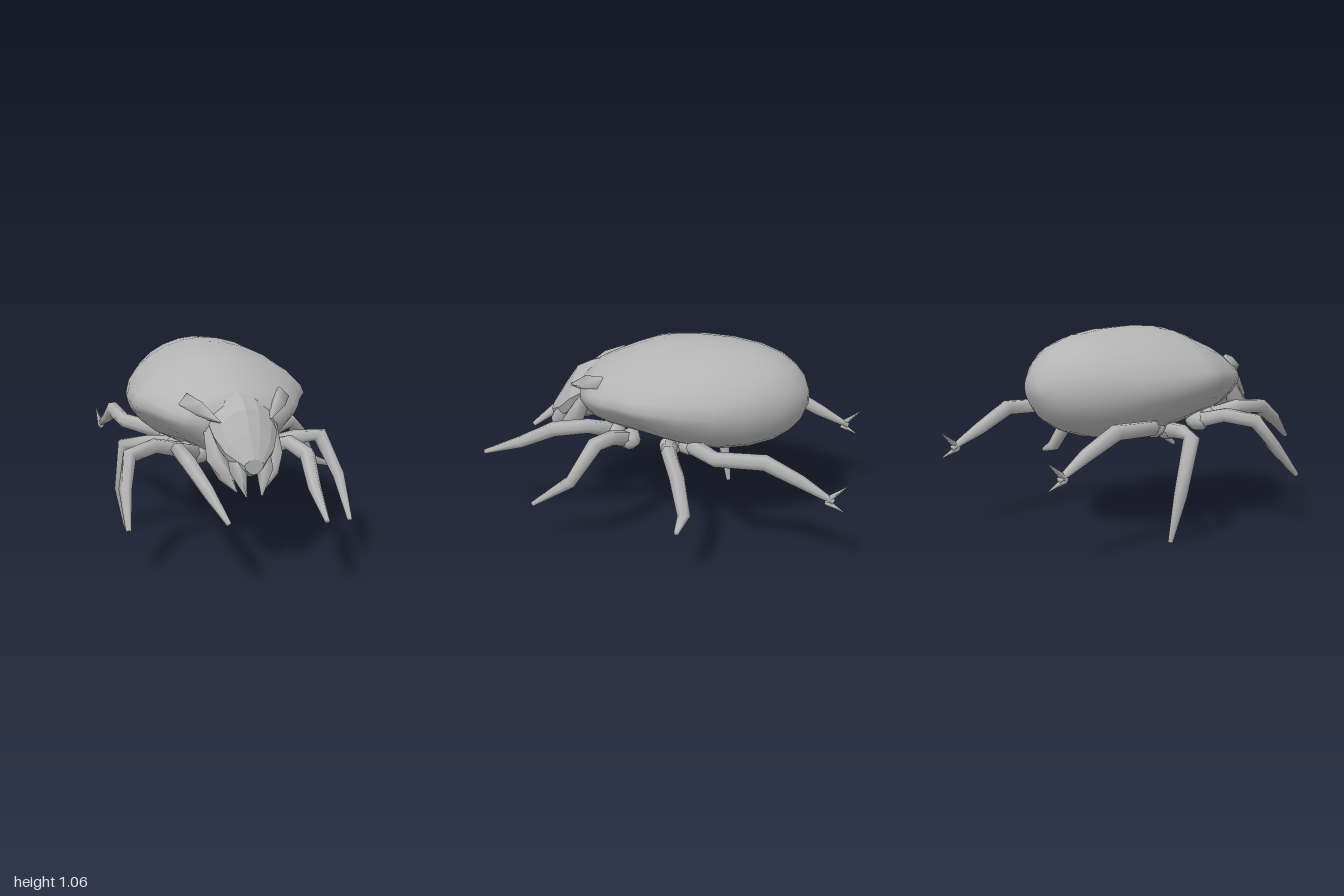
import * as THREE from 'three';

const CX = -0.065; // body midline
const shell = new THREE.MeshStandardMaterial({ color: 0xb4b4b4 });
shell.name = 'grey shell';
const V = (x, y, z) => new THREE.Vector3(x, y, z);

// Closed skin through a list of rings of equal length, capped at both ends
function loft(rings) {
  const n = rings[0].length, pos = [], idx = [];
  rings.forEach(r => r.forEach(p => pos.push(p.x, p.y, p.z)));
  for (let i = 0; i < rings.length - 1; i++)
    for (let j = 0; j < n; j++) {
      const a = i * n + j, b = i * n + (j + 1) % n;
      idx.push(a, b, a + n, b, b + n, a + n);
    }
  [0, rings.length - 1].forEach(k => {
    const c = rings[k].reduce((s, p) => s.add(p), V(0, 0, 0)).divideScalar(n);
    const ci = pos.length / 3;
    pos.push(c.x, c.y, c.z);
    for (let j = 0; j < n; j++) {
      const a = k * n + j, b = k * n + (j + 1) % n;
      if (k === 0) idx.push(ci, b, a); else idx.push(ci, a, b);
    }
  });
  const g = new THREE.BufferGeometry();
  g.setAttribute('position', new THREE.Float32BufferAttribute(pos, 3));
  g.setIndex(idx);
  g.computeVertexNormals();
  return g;
}

// Cross-section facing z: pUp and pLow set how round the two halves are
function section([z, hw, top, mid, bottom, pUp, pLow], n) {
  const ring = [];
  for (let j = 0; j < n; j++) {
    const a = j / n * Math.PI * 2, c = Math.cos(a), s = Math.sin(a);
    const p = s >= 0 ? pUp : pLow;
    const x = Math.sign(c) * Math.pow(Math.abs(c), 2 / p);
    const y = Math.sign(s) * Math.pow(Math.abs(s), 2 / p);
    ring.push(V(CX + x * hw, mid + y * (s >= 0 ? top - mid : mid - bottom), z));
  }
  return ring;
}

// Tapered six-sided limb through points [x, y, z, radius]
function limb(points, sides = 6) {
  const c = points.map(p => V(p[0], p[1], p[2]));
  return loft(c.map((p, i) => {
    const t = c[Math.min(i + 1, c.length - 1)].clone().sub(c[Math.max(i - 1, 0)]).normalize();
    const u = V(-t.z, 0, t.x);
    if (u.length() < 0.05) u.set(1, 0, 0);
    u.addScaledVector(t, -u.dot(t)).normalize();
    const v = t.clone().cross(u);
    return Array.from({ length: sides }, (_, j) => {
      const a = j / sides * Math.PI * 2, r = points[i][3];
      return p.clone().addScaledVector(u, Math.cos(a) * r).addScaledVector(v, Math.sin(a) * r);
    });
  }));
}

export function createModel() {
  const model = new THREE.Group();
  const add = (name, geometry) => {
    const m = new THREE.Mesh(geometry, shell);
    m.name = name;
    model.add(m);
    return m;
  };

  // Domed body: z, half width, top, widest height, bottom, roundness above and below
  add('body', loft([
    [-0.735, 0.04, 0.81, 0.775, 0.74, 2, 2],
    [-0.705, 0.14, 0.885, 0.775, 0.665, 2, 2],
    [-0.65, 0.21, 0.945, 0.775, 0.60, 2, 2],
    [-0.57, 0.29, 0.995, 0.775, 0.55, 2, 2],
    [-0.45, 0.365, 1.035, 0.775, 0.51, 1.9, 1.95],
    [-0.3, 0.427, 1.057, 0.78, 0.485, 1.8, 1.85],
    [-0.12, 0.463, 1.063, 0.79, 0.48, 1.7, 1.65],
    [0.02, 0.473, 1.052, 0.80, 0.49, 1.62, 1.45],
    [0.1, 0.467, 1.037, 0.80, 0.50, 1.6, 1.35],
    [0.2, 0.405, 1.0, 0.79, 0.515, 1.65, 1.35],
    [0.3, 0.36, 0.955, 0.78, 0.53, 1.7, 1.35],
    [0.39, 0.29, 0.91, 0.77, 0.56, 1.75, 1.4],
    [0.46, 0.20, 0.87, 0.76, 0.61, 1.8, 1.5],
  ].map(s => section(s, 24))));

  // Sloping head shield
  add('head', loft([
    [0.32, 0.16, 0.93, 0.78, 0.58, 1.8, 1.8],
    [0.45, 0.17, 0.89, 0.77, 0.56, 1.7, 1.6],
    [0.53, 0.165, 0.85, 0.72, 0.54, 1.6, 1.5],
    [0.6, 0.125, 0.745, 0.65, 0.52, 1.6, 1.5],
    [0.67, 0.05, 0.63, 0.6, 0.55, 1.6, 1.6],
  ].map(s => section(s, 12))).toNonIndexed()).geometry.computeVertexNormals();

  for (const s of [-1, 1]) {
    const side = s > 0 ? 'left' : 'right';
    // Mouthparts: inner fang and outer palp
    add(side + 'Fang', limb([[CX + s * 0.06, 0.66, 0.56, 0.05], [CX + s * 0.07, 0.56, 0.63, 0.045],
      [CX + s * 0.04, 0.44, 0.67, 0.005]], 5));
    add(side + 'Palp', limb([[CX + s * 0.16, 0.74, 0.44, 0.035], [CX + s * 0.15, 0.6, 0.52, 0.055],
      [CX + s * 0.12, 0.53, 0.57, 0.04], [CX + s * 0.07, 0.45, 0.61, 0.005]], 5));
    // Pointed shoulder flap beside the head
    add(side + 'ShoulderFlap', limb([[CX + s * 0.25, 0.85, 0.32, 0.05], [CX + s * 0.2, 0.83, 0.42, 0.045],
      [CX + s * 0.13, 0.79, 0.53, 0.005]], 4));
  }

  // Legs: joints from the hip to the foot, each posed separately
  const legs = {
    rightFrontLeg: [[-0.24, 0.56, 0.26], [-0.37, 0.62, 0.37], [-0.36, 0.6, 0.55], [-0.31, 0.5, 0.72], [-0.255, 0.385, 0.87]],
    leftFrontLeg: [[0.1, 0.56, 0.28], [0.21, 0.62, 0.4], [0.245, 0.6, 0.58], [0.21, 0.49, 0.78], [0.19, 0.4, 1.0]],
    rightSecondLeg: [[-0.27, 0.55, 0.17], [-0.45, 0.6, 0.2], [-0.6, 0.58, 0.275], [-0.645, 0.44, 0.37], [-0.665, 0.27, 0.52]],
    leftSecondLeg: [[0.17, 0.55, 0.18], [0.29, 0.6, 0.25], [0.42, 0.615, 0.3], [0.485, 0.42, 0.42], [0.46, 0.255, 0.64]],
    rightThirdLeg: [[-0.27, 0.53, -0.05], [-0.42, 0.54, -0.08], [-0.54, 0.53, -0.12], [-0.555, 0.25, -0.205], [-0.525, 0.01, -0.245]],
    leftThirdLeg: [[0.17, 0.53, -0.04], [0.39, 0.6, -0.08], [0.47, 0.5, -0.14], [0.555, 0.33, -0.195], [0.67, 0.29, -0.18]],
    rightRearLeg: [[-0.27, 0.55, -0.15], [-0.495, 0.6, -0.34], [-0.515, 0.61, -0.58], [-0.51, 0.52, -0.76], [-0.53, 0.43, -0.93]],
    leftRearLeg: [[0.17, 0.55, -0.14], [0.425, 0.6, -0.33], [0.43, 0.61, -0.58], [0.42, 0.52, -0.76], [0.43, 0.43, -0.93]],
  };
  const radii = [0.045, 0.04, 0.042, 0.034, 0.014];
  for (const [name, joints] of Object.entries(legs)) {
    add(name, limb(joints.map((p, i) => [...p, radii[i]])));
    // Swollen hip under the body
    const hip = add(name + 'Hip', new THREE.SphereGeometry(0.06, 8, 6));
    hip.position.set(...joints[0]);
    hip.scale.set(1.3, 0.9, 1);
    // Forked claws on the rear feet
    if (name.includes('Rear')) {
      const [x, y, z] = joints[4];
      add(name + 'UpperClaw', limb([[x, y, z + 0.04, 0.02], [x - 0.01, y + 0.085, z - 0.06, 0.003]], 4));
      add(name + 'LowerClaw', limb([[x, y, z + 0.04, 0.02], [x + 0.01, y - 0.045, z - 0.05, 0.003]], 4));
    }
  }
  return model;
}
